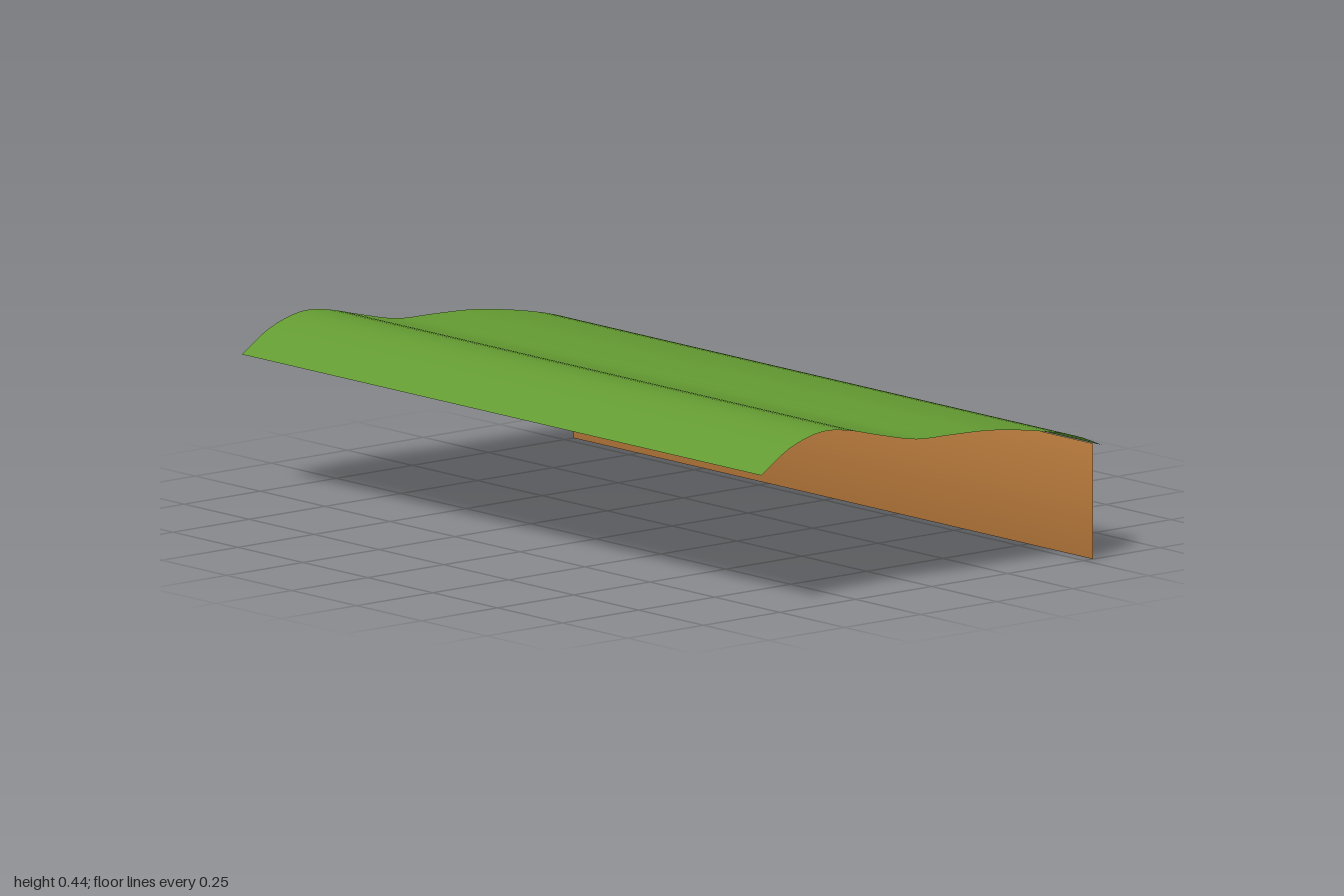
import * as THREE from 'three';

const leafGreen = new THREE.MeshStandardMaterial({ color: 0x649b32, side: THREE.DoubleSide });
leafGreen.name = 'grass green';
const earthBrown = new THREE.MeshStandardMaterial({ color: 0xa66d34, side: THREE.DoubleSide });
earthBrown.name = 'earth brown';

const WIDTH = 2;

// Sheet spanning the full width whose rows follow a list of (z, y) points
function sheet(name, points, material) {
  const geo = new THREE.PlaneGeometry(WIDTH, 1, 1, points.length - 1);
  const pos = geo.attributes.position;
  for (let i = 0; i < pos.count; i++) {
    const p = points[Math.floor(i / 2)];
    pos.setXYZ(i, pos.getX(i), p.y, p.x);
  }
  geo.computeVertexNormals();
  const mesh = new THREE.Mesh(geo, material);
  mesh.name = name;
  return mesh;
}

export function createModel() {
  const model = new THREE.Group();
  model.name = 'grassLedge';

  // Wavy top: back lip, long shoulder, shallow dip, front crest, drooping front edge
  const profile = [
    [-0.56, 0.287], [-0.47, 0.323], [-0.34, 0.352], [-0.2, 0.372], [-0.07, 0.378],
    [0.05, 0.382], [0.17, 0.408], [0.28, 0.435], [0.37, 0.441], [0.47, 0.412], [0.56, 0.357],
  ].map(([z, y]) => new THREE.Vector2(z, y));
  const wave = new THREE.SplineCurve(profile).getPoints(40);
  model.add(sheet('grassTop', wave, leafGreen));

  // Upright back wall under the lip
  const wallPoints = [new THREE.Vector2(-0.53, 0.295), new THREE.Vector2(-0.53, 0)];
  const wall = sheet('backWall', wallPoints, earthBrown);
  // Soften the wall's upper edge into the lip above it
  const normals = wall.geometry.attributes.normal;
  for (let i = 0; i < 2; i++) normals.setXYZ(i, 0, 0.75, 0.66);
  for (let i = 2; i < 4; i++) normals.setXYZ(i, 0, 0.1, 0.995);
  model.add(wall);

  return model;
}
